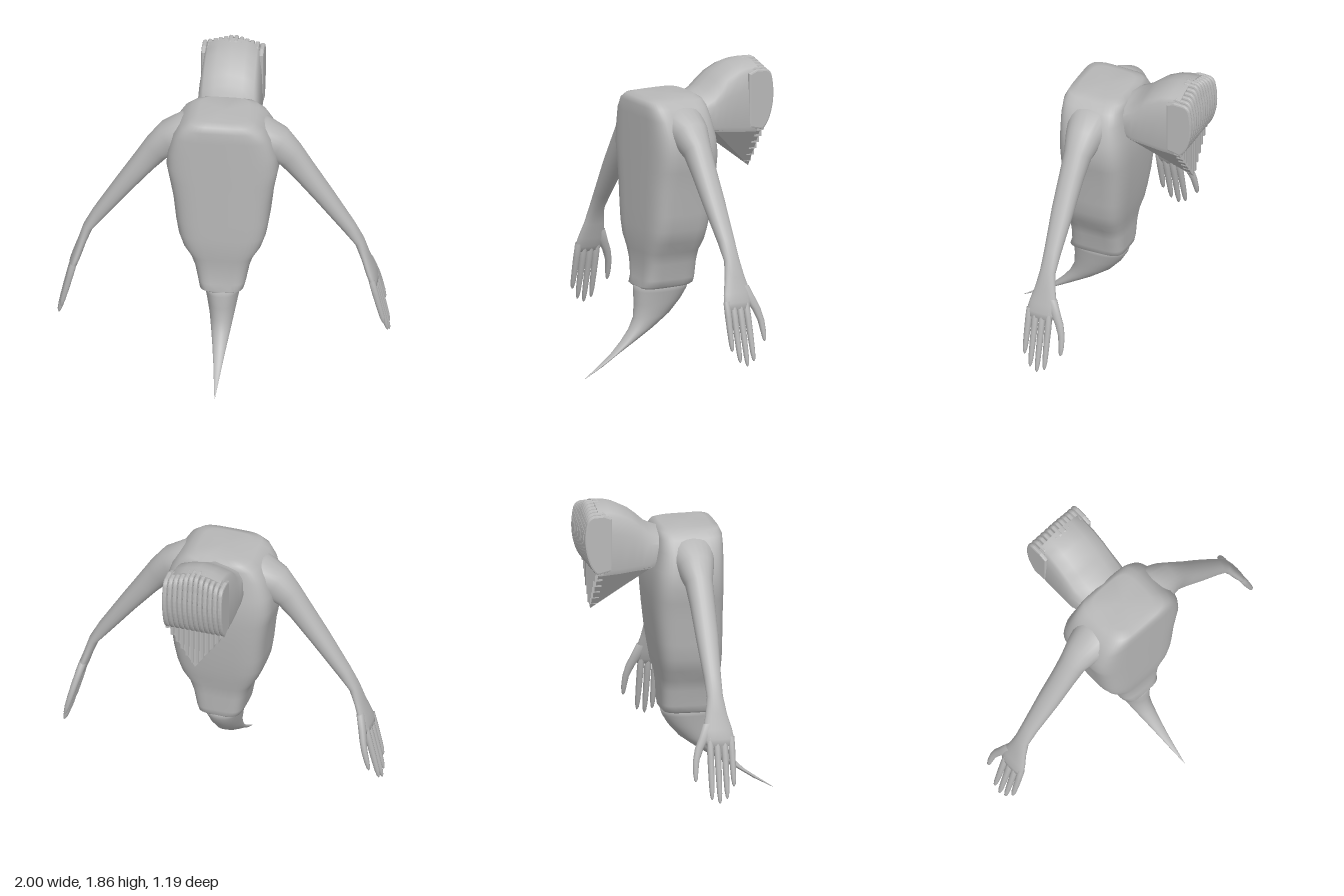
import * as THREE from 'three';
import { toCreasedNormals } from 'three/addons/utils/BufferGeometryUtils.js';
import { ConvexGeometry } from 'three/addons/geometries/ConvexGeometry.js';

const V = (x, y, z) => new THREE.Vector3(x, y, z);
const grey = new THREE.MeshStandardMaterial({ color: 0xb8b8b8 });
grey.name = 'grey skin';

// Skin a list of rings (arrays of Vector3) and close both ends
function loft(rings) {
  const n = rings[0].length, pos = [], idx = [];
  for (const r of rings) for (const p of r) pos.push(p.x, p.y, p.z);
  for (let i = 0; i < rings.length - 1; i++) {
    for (let j = 0; j < n; j++) {
      const a = i * n + j, b = i * n + (j + 1) % n;
      idx.push(a, b, a + n, b, b + n, a + n);
    }
  }
  [0, rings.length - 1].forEach((i, end) => {
    const c = V(0, 0, 0);
    rings[i].forEach((p) => c.addScaledVector(p, 1 / n));
    const k = pos.length / 3;
    pos.push(c.x, c.y, c.z);
    for (let j = 0; j < n; j++) {
      const a = i * n + j, b = i * n + (j + 1) % n;
      if (end) idx.push(k, a, b); else idx.push(k, b, a);
    }
  });
  const g = new THREE.BufferGeometry();
  g.setAttribute('position', new THREE.Float32BufferAttribute(pos, 3));
  g.setIndex(idx);
  g.computeVertexNormals();
  return g;
}

// Rounded-box ring around a centre, with half axes u and v
function ring(c, u, v, power, seg) {
  const out = [];
  const f = (t) => Math.sign(t) * Math.abs(t) ** (2 / power);
  for (let j = 0; j < seg; j++) {
    const a = (j / seg) * Math.PI * 2;
    out.push(c.clone().addScaledVector(u, f(Math.cos(a))).addScaledVector(v, f(Math.sin(a))));
  }
  return out;
}

// Rows: front y, front z, back y, back z, half width, squareness
const trunk = (rows) => loft(rows.map(([fy, fz, by, bz, w, p]) =>
  ring(V(0, (fy + by) / 2, (fz + bz) / 2), V(w, 0, 0), V(0, (fy - by) / 2, (fz - bz) / 2), p, 40)));

// Rows: x, y, z, half thickness, half depth in z; s mirrors in x
function limb(rows, s, seg = 16) {
  const pts = rows.map((r) => V(r[0] * s, r[1], r[2]));
  return loft(rows.map((r, i) => {
    const d = pts[Math.min(i + 1, pts.length - 1)].clone().sub(pts[Math.max(i - 1, 0)]);
    const u = V(-d.y, d.x, 0).normalize().multiplyScalar(r[3]);
    return ring(pts[i], u, V(0, 0, r[4]), 2.2, seg);
  }));
}

export function createModel() {
  const model = new THREE.Group();
  const add = (name, geo, parent = model) => {
    const m = new THREE.Mesh(geo, grey);
    m.name = name;
    parent.add(m);
    return m;
  };

  // Torso narrowing to the hips
  add('torso', trunk([
    [1.697, 0.19, 1.697, -0.1, 0.15, 4],
    [1.685, 0.235, 1.675, -0.13, 0.2, 5],
    [1.65, 0.25, 1.64, -0.14, 0.25, 5],
    [1.58, 0.25, 1.57, -0.15, 0.295, 5],
    [1.46, 0.25, 1.46, -0.175, 0.33, 4.5],
    [1.36, 0.25, 1.36, -0.183, 0.338, 4.5],
    [1.27, 0.25, 1.27, -0.183, 0.32, 4.5],
    [1.15, 0.25, 1.15, -0.175, 0.297, 4.5],
    [1.0, 0.25, 1.0, -0.16, 0.28, 4.5],
    [0.9, 0.25, 0.9, -0.145, 0.263, 4.5],
    [0.82, 0.248, 0.82, -0.133, 0.235, 4.5],
    [0.75, 0.24, 0.75, -0.115, 0.19, 4.5],
    [0.68, 0.233, 0.68, -0.108, 0.165, 4.5],
    [0.58, 0.235, 0.58, -0.105, 0.145, 4.5],
    [0.54, 0.25, 0.545, -0.1, 0.135, 4.5],
    [0.525, 0.235, 0.53, -0.085, 0.115, 4],
  ]));

  // Tail sweeping forward to a point
  add('tail', trunk([
    [0.56, 0.24, 0.56, -0.1, 0.12, 2.6],
    [0.5, 0.248, 0.5, -0.085, 0.106, 2.4],
    [0.42, 0.25, 0.44, -0.05, 0.092, 2.2],
    [0.34, 0.257, 0.36, 0.02, 0.076, 2],
    [0.27, 0.29, 0.28, 0.13, 0.06, 2],
    [0.2, 0.345, 0.2, 0.26, 0.043, 2],
    [0.125, 0.42, 0.135, 0.37, 0.028, 2],
    [0.065, 0.505, 0.065, 0.475, 0.015, 2],
    [0.002, 0.596, 0, 0.594, 0.001, 2],
  ]));

  // Head block with a ridged crown: z, top, bottom, half width
  const headRows = [
    [-0.08, 1.67, 1.5, 0.17], [-0.15, 1.69, 1.48, 0.185], [-0.2, 1.715, 1.46, 0.19],
    [-0.25, 1.76, 1.455, 0.19], [-0.3, 1.8, 1.45, 0.19], [-0.38, 1.84, 1.44, 0.188],
    [-0.44, 1.855, 1.435, 0.186], [-0.51, 1.858, 1.43, 0.185],
  ];
  add('head', toCreasedNormals(loft(headRows.map(([z, t, b, w]) => {
    const half = [[0.45 * w, t - 0.016], [0.8 * w, t - 0.04], [0.88 * w, t - 0.065],
      [0.95 * w, t * 0.6 + b * 0.4], [w, b + 0.03], [0.95 * w, b]];
    return [V(0, t, z), ...half.map(([x, y]) => V(x, y, z)), V(0, b, z),
      ...half.slice().reverse().map(([x, y]) => V(-x, y, z))];
  })), 0.75));

  // Wedge jaw under the head
  add('jaw', new ConvexGeometry([
    V(0.185, 1.47, -0.19), V(-0.185, 1.47, -0.19),
    V(0.18, 1.45, -0.51), V(-0.18, 1.45, -0.51), V(0, 1.185, -0.525),
  ]));

  // Rows of upright plates across the face and the jaw
  const plates = new THREE.Group();
  plates.name = 'facePlates';
  model.add(plates);
  for (let i = 0; i < 12; i++) {
    const x = (i - 5.5) * 0.0315;
    const t = 1.862 - 0.3 * Math.abs(x);
    const s = new THREE.Shape();
    s.moveTo(0.43, 1.46);
    s.lineTo(0.43, t - 0.02);
    s.lineTo(0.48, t);
    s.lineTo(0.545, t - 0.003);
    s.quadraticCurveTo(0.575, t - 0.01, 0.585, 1.77);
    s.quadraticCurveTo(0.613, 1.65, 0.58, 1.54);
    s.quadraticCurveTo(0.56, 1.47, 0.52, 1.44);
    const g = new THREE.ExtrudeGeometry(s, {
      depth: 0.01, bevelThickness: 0.009, bevelSize: 0.011, bevelOffset: -0.011,
      bevelSegments: 2, curveSegments: 8,
    });
    g.translate(0, 0, -0.005).rotateY(Math.PI / 2);
    add('facePlate', g, plates).position.x = x;

    const low = 1.195 + 1.4 * Math.abs(x);
    const jawPlate = add('jawPlate', new THREE.BoxGeometry(0.017, 1.47 - low, 0.05), plates);
    jawPlate.position.set(x, (1.47 - low) / 2 + low, -0.508);
  }

  // Arms, hands, fingers and thumbs
  for (const [side, s] of [['left', 1], ['right', -1]]) {
    const arm = new THREE.Group();
    arm.name = side + 'Arm';
    model.add(arm);
    add('armAndPalm', limb([
      [0.1, 1.56, 0.05, 0.1, 0.15], [0.22, 1.53, 0.05, 0.125, 0.14],
      [0.32, 1.485, 0.05, 0.112, 0.11], [0.4, 1.415, 0.05, 0.086, 0.083],
      [0.48, 1.31, 0.052, 0.072, 0.075], [0.6, 1.145, 0.052, 0.058, 0.068],
      [0.75, 0.93, 0.05, 0.042, 0.052], [0.815, 0.83, 0.05, 0.03, 0.049],
      [0.85, 0.73, 0.05, 0.026, 0.066], [0.88, 0.64, 0.05, 0.027, 0.09],
      [0.9, 0.585, 0.058, 0.025, 0.09], [0.91, 0.55, 0.06, 0.016, 0.082],
    ], s, 24), arm);

    // Base z, tip z, tip y
    [[0.13, 0.132, 0.31], [0.088, 0.087, 0.24], [0.044, 0.041, 0.215], [0.001, -0.006, 0.24]]
      .forEach(([z0, z1, y1]) => {
        const at = (t, r) => {
          const y = 0.6 + (y1 - 0.6) * t;
          return [0.896 + (0.6 - y) * 0.25, y, z0 + (z1 - z0) * t, r, r];
        };
        add('finger', limb([at(0, 0.02), at(0.3, 0.02), at(0.6, 0.018),
          at(0.85, 0.015), at(0.96, 0.01), at(1, 0.003)], s, 10), arm);
      });
    add('thumb', limb([
      [0.868, 0.68, 0.0, 0.022, 0.035], [0.89, 0.6, -0.035, 0.022, 0.033],
      [0.905, 0.54, -0.067, 0.02, 0.027], [0.922, 0.47, -0.09, 0.018, 0.02],
      [0.94, 0.4, -0.097, 0.015, 0.016], [0.95, 0.36, -0.098, 0.01, 0.011],
      [0.953, 0.347, -0.098, 0.003, 0.003],
    ], s, 12), arm);
  }
  return model;
}
